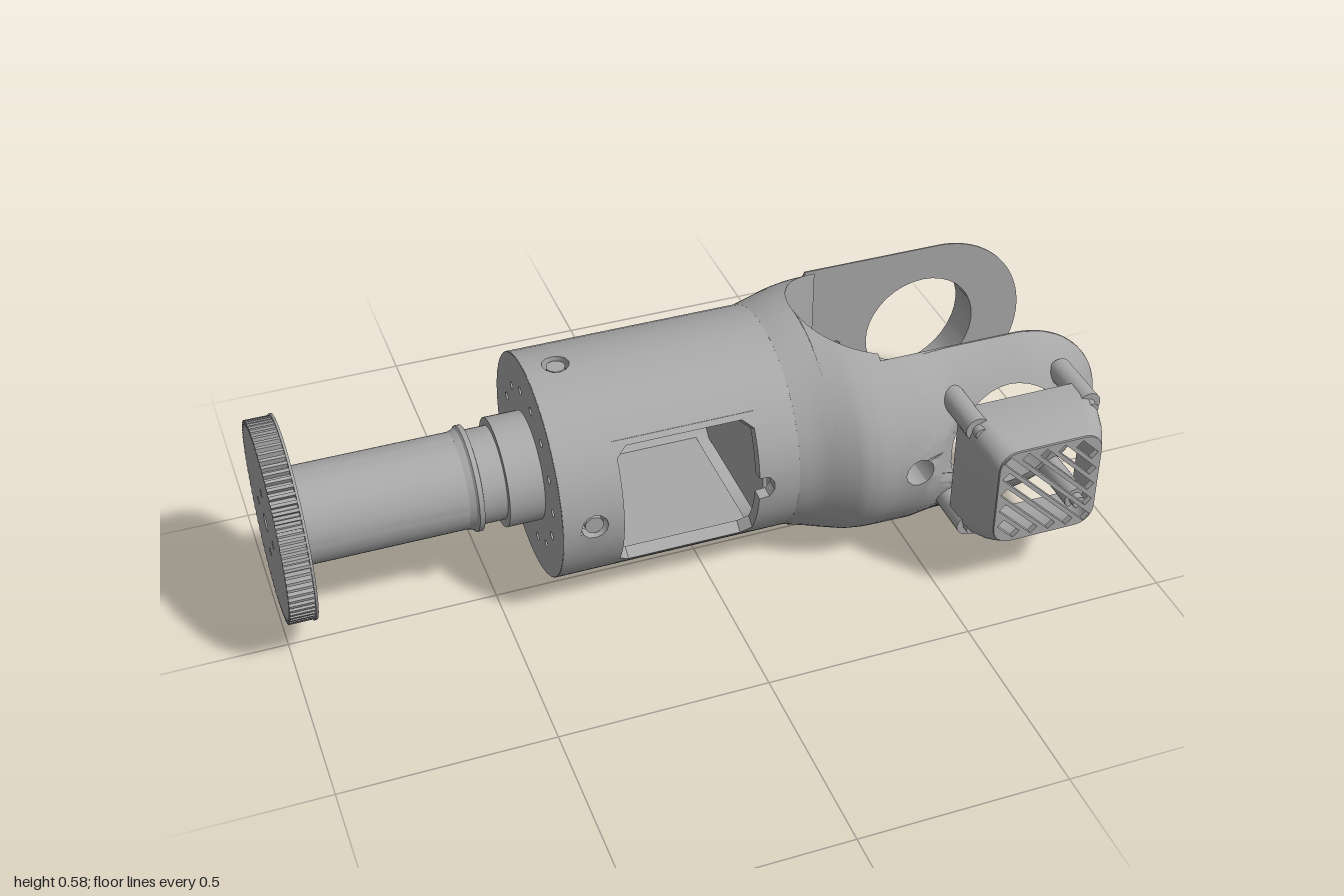
import * as THREE from 'three';
import { toCreasedNormals } from 'three/addons/utils/BufferGeometryUtils.js';

const grey = new THREE.MeshStandardMaterial({ color: 0xa8a8a8, side: THREE.DoubleSide });
grey.name = 'machinedGrey';

function add(parent, name, geo, x = 0, y = 0, z = 0) {
  const m = new THREE.Mesh(geo, grey);
  m.name = name;
  m.position.set(x, y, z);
  parent.add(m);
  return m;
}
const fromTris = (tris, crease = 0.6) => {
  const g = new THREE.BufferGeometry();
  g.setAttribute('position', new THREE.Float32BufferAttribute(tris.flat(2), 3));
  return toCreasedNormals(g, crease);
};
const polygon = (pts, Kind = THREE.Shape) => new Kind(pts.map(p => new THREE.Vector2(...p)));
function circle(x, y, r) {
  const n = r > 0.04 ? 36 : 12;
  return polygon(Array.from({ length: n }, (_, i) => {
    const a = -i / n * Math.PI * 2;
    return [x + r * Math.cos(a), y + r * Math.sin(a)];
  }), THREE.Path);
}
const extrude = (shape, depth) =>
  new THREE.ExtrudeGeometry(shape, { depth, bevelEnabled: false, curveSegments: 24 });

// Linear interpolation in a small table of [x, value]
function interp(table, x) {
  if (x <= table[0][0]) return table[0][1];
  for (let i = 1; i < table.length; i++) {
    const [x0, a] = table[i - 1], [x1, b] = table[i];
    if (x <= x1) return a + (b - a) * (x - x0) / (x1 - x0);
  }
  return table[table.length - 1][1];
}

// Cut triangles along regular planes so that a flat sheet can be bent
function slice(tris, axis, from, to, step) {
  for (let k = from; k <= to; k += step) {
    const out = [];
    for (const t of tris) {
      const d = t.map(p => (Math.abs(p[axis] - k) < 1e-6 ? 0 : p[axis] - k));
      if (d.every(v => v >= 0) || d.every(v => v <= 0)) { out.push(t); continue; }
      for (const s of [1, -1]) {
        const poly = [];
        for (let i = 0; i < 3; i++) {
          const j = (i + 1) % 3;
          if (s * d[i] >= 0) poly.push(t[i]);
          if (d[i] * d[j] < 0) {
            const f = d[i] / (d[i] - d[j]);
            poly.push(t[i].map((v, n) => v + (t[j][n] - v) * f));
          }
        }
        for (let i = 1; i + 1 < poly.length; i++) out.push([poly[0], poly[i], poly[i + 1]]);
      }
    }
    tris = out;
  }
  return tris;
}
function triangles(geo) {
  const p = geo.attributes.position, out = [];
  const at = i => [p.getX(i), p.getY(i), p.getZ(i)];
  for (let i = 0; i < p.count; i += 3) out.push([at(i), at(i + 1), at(i + 2)]);
  return out;
}

// Tube around x rolled from a flat sheet; holes are given as paths in (x, arc length)
const SEAM = -1.2;
function rolledTube(x0, x1, R, t, holes) {
  const a = SEAM * R, b = (SEAM + Math.PI * 2) * R;
  const shape = polygon([[x0, a], [x1, a], [x1, b], [x0, b]]);
  shape.holes.push(...holes);
  const step = R * Math.PI / 28;
  const tris = slice(triangles(extrude(shape, t)), 1, a + step, b - step / 2, step);
  return fromTris(tris.map(tri => tri.map(([x, v, w]) => {
    const r = R - t + w;
    return [x, r * Math.sin(v / R), r * Math.cos(v / R)];
  })));
}

// Skin over rings of points, optionally capped
function loft(rings, caps) {
  const tris = [], n = rings[0].length;
  for (let i = 0; i + 1 < rings.length; i++)
    for (let j = 0; j < n; j++) {
      const k = (j + 1) % n, A = rings[i], B = rings[i + 1];
      tris.push([A[j], A[k], B[k]], [A[j], B[k], B[j]]);
    }
  if (caps) for (let j = 1; j + 1 < n; j++) {
    const A = rings[0], B = rings[rings.length - 1];
    tris.push([A[0], A[j + 1], A[j]], [B[0], B[j], B[j + 1]]);
  }
  return fromTris(tris);
}

// Fork cross-section: half height, and half depth for the front and back prongs
const halfHeight = [[0.2, 0.272], [0.24, 0.283], [0.27, 0.289], [0.33, 0.297], [0.4, 0.302], [0.5, 0.306], [0.58, 0.316]];
const halfDepth = {
  front: [[0.2, 0.272], [0.25, 0.285], [0.3, 0.315], [0.34, 0.338], [0.38, 0.346], [0.5, 0.345], [0.58, 0.316]],
  back: [[0.2, 0.272], [0.25, 0.285], [0.3, 0.305], [0.35, 0.314], [0.45, 0.312], [0.58, 0.316]],
};
const PIVOT = 0.76, SLOT = 0.2025, MOTOR = 0.723;

function forkRoot(side) {
  const xs = [0.2, 0.22, 0.24, 0.26, 0.28];
  for (let i = 1; i <= 14; i++) xs.push(0.28 + 0.14 * (i / 14) ** 2);
  return loft(xs.map(x => {
    const w = x > 0.28 ? Math.sqrt(0.04 - (0.48 - x) ** 2) : 0;
    const b = interp(halfHeight, x), c = interp(halfDepth[side], x), a = Math.acos(w / c);
    return Array.from({ length: 41 }, (_, i) => {
      const f = a * (1 - i / 20);
      return [x, b * Math.sin(f), c * Math.cos(f)];
    });
  }), true);
}

function prong(side, holes) {
  const shape = new THREE.Shape().moveTo(0.4, -0.24).lineTo(PIVOT, -0.24);
  shape.absarc(PIVOT, 0, 0.24, -Math.PI / 2, Math.PI / 2, false).lineTo(0.4, 0.24);
  shape.holes.push(...holes.map(h => circle(...h)));
  const all = triangles(extrude(shape, 1)), isInner = t => t.every(p => p[2] === 0);
  let tris = slice(all.filter(t => !isInner(t)), 0, 0.44, 0.6, 0.05);
  tris = slice(tris, 0, PIVOT, 0.99, 0.03);
  tris = slice(tris, 1, -0.21, 0.22, 0.03).concat(all.filter(isInner));
  const flat = side === 'front' ? [[0.5, 0.35], [0.58, 0.3]] : [[0.4, 0.312], [0.5, 0.297]];
  return fromTris(tris.map(t => t.map(([x, y, w]) => {
    const rho = x > PIVOT ? Math.hypot(x - PIVOT, y) : Math.abs(y);
    const round = interp(halfDepth[side], x) * Math.sqrt(1 - (rho / interp(halfHeight, x)) ** 2);
    const h = Math.max(SLOT + 0.004, Math.min(interp(flat, x), round));
    return [x, y, SLOT + w * (h - SLOT)];
  })));
}

// Rounded square ring of the motor cover
function coverRing(half, z) {
  const r = 0.045, ring = [];
  for (let q = 0; q < 4; q++) for (let i = 0; i <= 6; i++) {
    const a = (q + i / 6) * Math.PI / 2, sx = q === 0 || q === 3 ? 1 : -1, sy = q < 2 ? 1 : -1;
    ring.push([sx * (half - r) + r * Math.cos(a), sy * (half - r) + r * Math.sin(a), z]);
  }
  return ring;
}

export function createModel() {
  const root = new THREE.Group();
  root.name = 'forkedArmJoint';
  root.position.set(0, 0.289, -0.097);
  const corners = [[1, 1], [1, -1], [-1, 1], [-1, -1]];

  // Body shell with service window, rear port and screw holes
  const R = 0.272, v = 0.18, c = 0.025;
  const windowPath = polygon([[-0.23, c - v], [-0.23, v - c], [-0.23 + c, v], [0.1 - c, v], [0.1, v - c],
    [0.1, 0.03], [0.125, 0.028], [0.137, 0.01], [0.137, -0.01], [0.125, -0.028], [0.1, -0.03],
    [0.1, c - v], [0.1 - c, -v], [-0.23 + c, -v]], THREE.Path);
  const shellHoles = [windowPath, circle(-0.062, Math.PI * R, 0.09)];
  for (const [sx, sy] of corners) shellHoles.push(circle(-0.062 + sx * 0.122, (Math.PI + sy * 0.478) * R, 0.02));
  for (let i = 0; i < 4; i++) shellHoles.push(circle(-0.3, i * Math.PI / 2 * R, 0.032));
  add(root, 'bodyShell', rolledTube(-0.375, 0.21, R, 0.03, shellHoles));
  for (let i = 0; i < 4; i++) {
    const a = i * Math.PI / 2;
    const s = add(root, 'sideScrew', new THREE.CylinderGeometry(0.022, 0.022, 0.03, 20), -0.3, 0.25 * Math.sin(a), 0.25 * Math.cos(a));
    s.rotation.x = Math.PI / 2 - a;
  }

  // Square chamber behind the window
  for (const s of [1, -1]) add(root, 'chamberWall', new THREE.BoxGeometry(0.34, 0.01, 0.4), -0.065, s * 0.174, 0.005);
  add(root, 'chamberEnd', new THREE.BoxGeometry(0.01, 0.35, 0.4), 0.142, 0, 0);
  const back = polygon([[-0.235, -0.175], [0.14, -0.175], [0.14, 0.175], [-0.235, 0.175]]);
  back.holes.push(circle(-0.062, 0, 0.09), ...corners.map(([x, y]) => circle(-0.062 + x * 0.122, y * 0.122, 0.013)));
  add(root, 'chamberBack', extrude(back, 0.015), 0, 0, -0.205);
  const bulk = polygon([[-0.2, -0.175], [0.2, -0.175], [0.2, 0.175], [-0.2, 0.175]]);
  bulk.holes.push(circle(0, 0, 0.03));
  for (let i = 0; i < 6; i++) bulk.holes.push(circle(0.08 * Math.cos(i * Math.PI / 3), 0.08 * Math.sin(i * Math.PI / 3), 0.018));
  add(root, 'shaftBulkhead', extrude(bulk, 0.01), -0.24).rotation.y = Math.PI / 2;

  // End plate with a ring of blind holes
  const end = new THREE.Shape().absarc(0, 0, 0.271, 0, Math.PI * 2, false);
  for (let i = 0; i < 14; i++) {
    const a = i * Math.PI / 7;
    end.holes.push(circle(0.19 * Math.cos(a), 0.19 * Math.sin(a), 0.01));
  }
  add(root, 'endPlate', toCreasedNormals(extrude(end, 0.03), 0.6), -0.376).rotation.y = Math.PI / 2;

  // Shaft and stepped collar
  add(root, 'shaft', rolledTube(-0.94, -0.55, 0.116, 0.02, [circle(-0.69, Math.PI * 0.116, 0.05)]));
  const steps = [[0.09, 0.55], [0.116, 0.55], [0.121, 0.535], [0.127, 0.53], [0.127, 0.518], [0.113, 0.515],
    [0.113, 0.46], [0.132, 0.46], [0.132, 0.37]].map(([r, x]) => new THREE.Vector2(r, -x));
  add(root, 'collar', toCreasedNormals(new THREE.LatheGeometry(steps, 48), 0.5)).rotation.z = -Math.PI / 2;

  // Toothed wheel
  const teeth = [];
  for (let i = 0; i < 80; i++) for (const [f, r] of [[0, 0.225], [0.4, 0.225], [0.5, 0.238], [0.9, 0.238]]) {
    const a = (i + f) / 80 * Math.PI * 2;
    teeth.push([r * Math.cos(a), r * Math.sin(a)]);
  }
  const gear = polygon(teeth);
  gear.holes.push(circle(0, 0, 0.022));
  for (let i = 0; i < 4; i++) gear.holes.push(circle(0.085 * Math.cos(i * Math.PI / 2), 0.085 * Math.sin(i * Math.PI / 2), 0.01));
  add(root, 'toothedWheel', extrude(gear, 0.058), -0.998).rotation.y = Math.PI / 2;
  add(root, 'wheelFlange', new THREE.CylinderGeometry(0.241, 0.241, 0.006, 80), -0.937).rotation.z = Math.PI / 2;

  // Fork: front prong carries the motor, back prong is open
  add(root, 'frontForkRoot', forkRoot('front'));
  add(root, 'backForkRoot', forkRoot('back')).rotation.x = Math.PI;
  add(root, 'frontProng', prong('front', [[MOTOR, 0, 0.15], [0.475, 0, 0.036],
    ...corners.map(([x, y]) => [MOTOR + x * 0.13, y * 0.13, 0.012])]));
  add(root, 'backProng', prong('back', [[MOTOR, 0, 0.148], [0.49, 0, 0.015], [0.435, 0, 0.012]])).rotation.x = Math.PI;

  // Motor cover with slanted vents and four mounting posts
  const cover = new THREE.Group();
  cover.name = 'motorCover';
  cover.position.set(MOTOR, 0.003, 0);
  root.add(cover);
  add(cover, 'coverSides', loft([[0.165, 0.347], [0.164, 0.39], [0.158, 0.43], [0.148, 0.465], [0.137, 0.49], [0.126, 0.504]]
    .map(([h, z]) => coverRing(h, z))));
  const grille = polygon(coverRing(0.13, 0).map(p => [p[0], p[1]]));
  const s = 0.122, e = 0.008;
  for (let i = -4; i <= 4; i++) {
    const k = i * 0.046, a = Math.max(-s, k - s) + 0.008, b = Math.min(s, k + s) - 0.008;
    grille.holes.push(polygon([[a - e, k - a - e], [a + e, k - a + e], [b + e, k - b + e], [b - e, k - b - e]], THREE.Path));
  }
  add(cover, 'coverGrille', extrude(grille, 0.014), 0, 0, 0.49);
  for (const [x, y] of corners) {
    add(cover, 'coverPost', new THREE.CylinderGeometry(0.029, 0.029, 0.15, 24), x * 0.143, y * 0.141, 0.33).rotation.x = Math.PI / 2;
    add(cover, 'coverScrew', new THREE.CylinderGeometry(0.016, 0.016, 0.05, 20), x * 0.141, y * 0.139, 0.4).rotation.x = Math.PI / 2;
  }
  return root;
}
